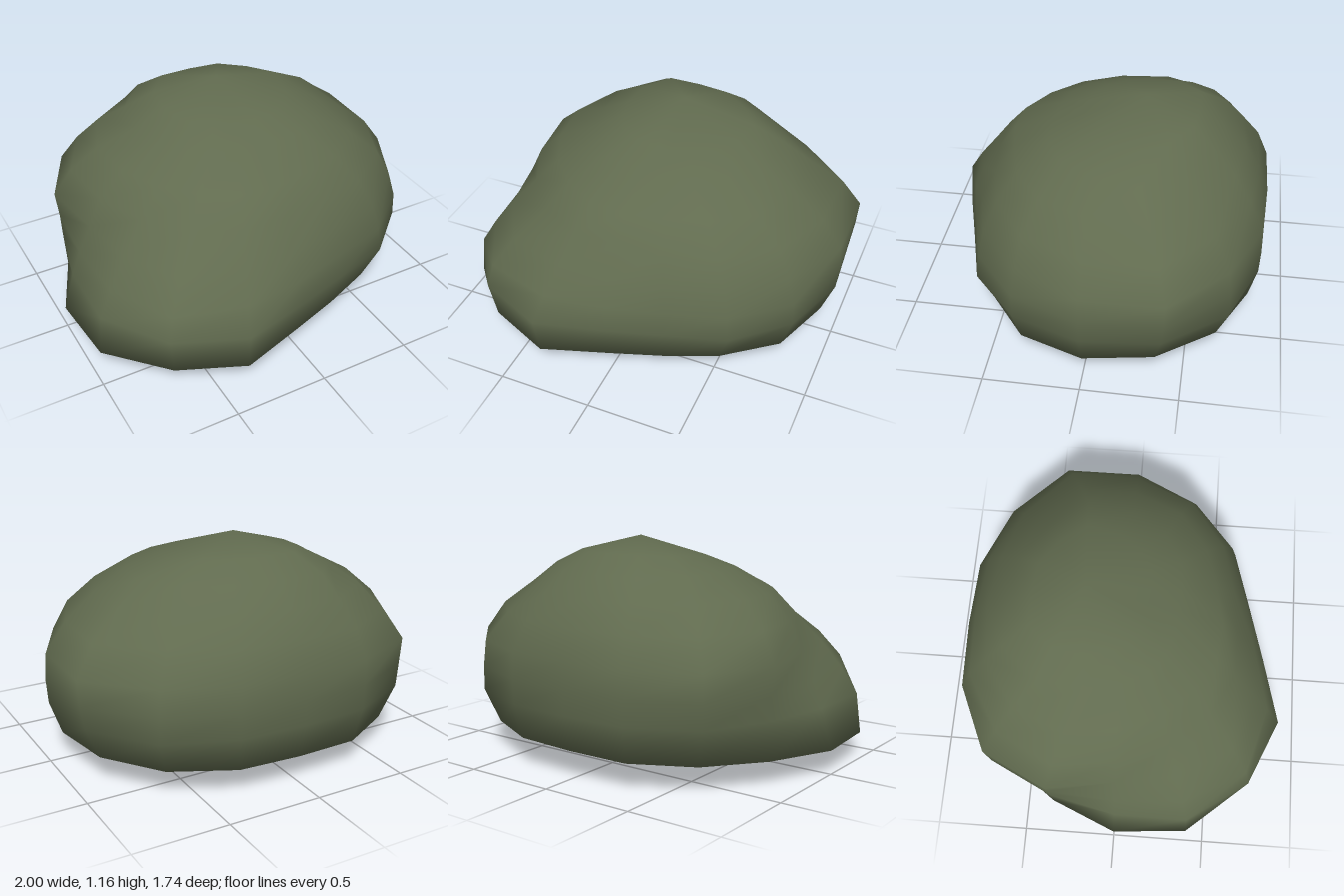
import * as THREE from 'three';

// Radii of the boulder at rising heights, every 22.5 degrees from +x towards +z
const SECTIONS = [
  { y: 0.135, r: [0.925, 0.87, 0.76, 0.70, 0.735, 0.915, 0.98, 1.045, 1.00, 0.92, 0.90, 0.875, 0.825, 0.875, 0.925, 0.94] },
  { y: 0.33, r: [0.99, 0.935, 0.85, 0.75, 0.78, 0.945, 1.015, 1.02, 0.94, 0.93, 0.98, 0.925, 0.87, 0.92, 1.005, 1.03] },
  { y: 0.46, r: [1.00, 0.93, 0.83, 0.73, 0.75, 0.86, 0.975, 0.94, 0.89, 0.935, 0.99, 0.93, 0.87, 0.925, 1.005, 1.06] },
  { y: 0.60, r: [0.99, 0.89, 0.79, 0.69, 0.69, 0.75, 0.85, 0.83, 0.82, 0.95, 1.00, 0.93, 0.868, 0.92, 0.99, 1.07] },
  { y: 0.75, r: [0.88, 0.81, 0.70, 0.61, 0.59, 0.635, 0.66, 0.69, 0.75, 0.85, 0.89, 0.865, 0.81, 0.84, 0.87, 0.96] },
  { y: 0.88, r: [0.72, 0.66, 0.57, 0.50, 0.50, 0.52, 0.53, 0.565, 0.62, 0.70, 0.76, 0.76, 0.73, 0.745, 0.73, 0.78] },
  { y: 0.99, r: [0.54, 0.46, 0.38, 0.30, 0.26, 0.28, 0.32, 0.36, 0.41, 0.48, 0.59, 0.66, 0.61, 0.63, 0.62, 0.64] },
];
const SIDES = 16;
const SUMMIT = new THREE.Vector3(0.03, 1.16, -0.21);
const BASE = new THREE.Vector3(-0.32, 0, 0.17);

function makeRing({ y, r }) {
  return r.map((radius, k) => {
    const a = (k / SIDES) * Math.PI * 2;
    return new THREE.Vector3(radius * Math.cos(a), y, radius * Math.sin(a));
  });
}

function boulderGeometry() {
  const rings = SECTIONS.map(makeRing);

  // The lower rim rises slightly to the left and back
  rings[0].forEach((p) => { p.y += 0.012 * (p.x - p.z); });

  // Shallow, tilted underside and rounded crown
  const under = rings[0].map((p) => {
    const q = new THREE.Vector3(p.x * 0.68 - 0.03, 0, p.z * 0.68 + 0.02);
    q.y = 0.035 + 0.03 * q.x + 0.06 * q.x ** 2 + 0.1 * (q.z - 0.1) ** 2;
    return q;
  });
  const crown = rings[rings.length - 1].map((p) => {
    const q = p.clone().lerp(SUMMIT, 0.32);
    q.y = 1.055 - 0.06 * q.z;
    return q;
  });
  const all = [under, ...rings, crown];

  const points = [...all.flat(), BASE, SUMMIT];
  const base = points.length - 2;
  const summit = points.length - 1;
  const last = (all.length - 1) * SIDES;
  const index = [];
  for (let k = 0; k < SIDES; k++) {
    const n = (k + 1) % SIDES;
    index.push(base, k, n);
    for (let i = 0; i < all.length - 1; i++) {
      const a = i * SIDES + k, b = i * SIDES + n;
      index.push(a, a + SIDES, b, b, a + SIDES, b + SIDES);
    }
    index.push(last + k, summit, last + n);
  }

  const geometry = new THREE.BufferGeometry().setFromPoints(points);
  geometry.setIndex(index);
  geometry.computeVertexNormals();
  return geometry;
}

export function createModel() {
  const group = new THREE.Group();
  group.name = 'rock';
  const mossGreen = new THREE.MeshStandardMaterial({ color: 0x616b4f });
  mossGreen.name = 'mossGreen';
  const boulder = new THREE.Mesh(boulderGeometry(), mossGreen);
  boulder.name = 'boulder';
  group.add(boulder);
  return group;
}
